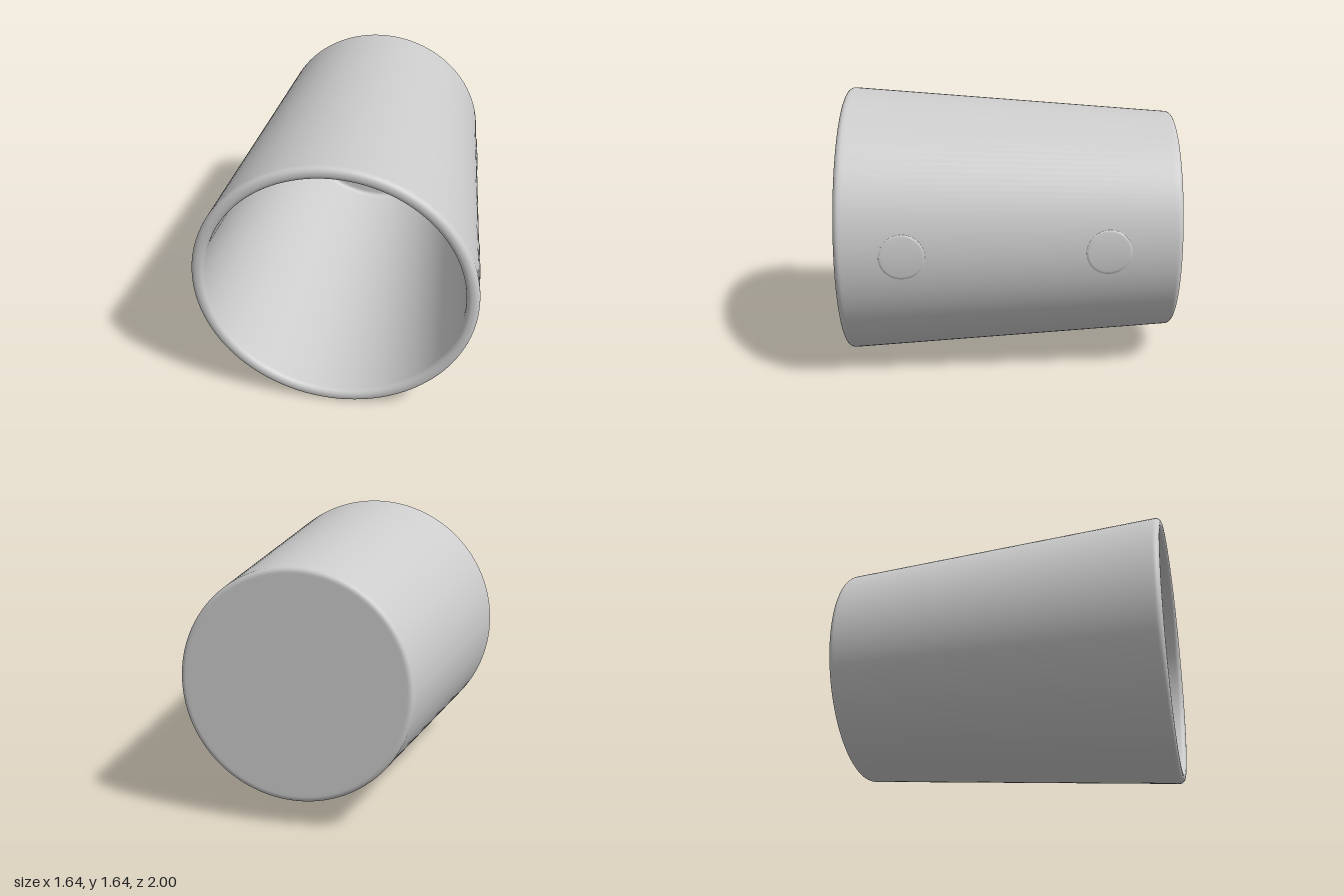
import * as THREE from 'three';
import { ParametricGeometry } from 'three/addons/geometries/ParametricGeometry.js';

const CENTER_Y = 0.82;
const outerRadius = (z) => 0.746 + 0.0765 * z;
const innerRadius = (z) => 0.672 + 0.0755 * z;

// Quarter-round profile points around a centre, from angle a0 to a1 (degrees)
function fillet(r, z, size, a0, a1, steps = 6) {
  return Array.from({ length: steps + 1 }, (_, i) => {
    const a = THREE.MathUtils.degToRad(a0 + ((a1 - a0) * i) / steps);
    return new THREE.Vector2(r + size * Math.cos(a), z + size * Math.sin(a));
  });
}

// Tapered cup wall with closed back, rounded rim and hollow inside
function cupGeometry() {
  const f = 0.033;
  const p = (r, z) => new THREE.Vector2(r, z);
  const profile = [
    p(0, -1), p(outerRadius(-1) - f - 0.01, -1),
    ...fillet(outerRadius(-0.967) - f, -1 + f, f, -90, -4),
    p(outerRadius(-0.95), -0.95), p(outerRadius(0.95), 0.95),
    ...fillet(outerRadius(0.967) - f, 1 - f, f, -4, 90),
    ...fillet(innerRadius(0.967) + f, 1 - f, f, 90, 176),
    p(innerRadius(0.95), 0.95), p(innerRadius(-0.88), -0.88),
    ...fillet(innerRadius(-0.9) - 0.03, -0.9, 0.03, -4, -90),
    p(0.55, -0.93), p(0, -0.93),
  ];
  return new THREE.LatheGeometry(profile, 128).rotateX(Math.PI / 2);
}

// Round pad that hugs the tapered wall on the model's left side
function padGeometry(cz) {
  const size = 0.132;
  const geometry = new ParametricGeometry((u, v, target) => {
    const a = u * Math.PI * 2;
    const rho = size * Math.min(v / 0.9, 1);
    const lift = v > 0.95 ? -0.004 : 0.004;
    const y = rho * Math.sin(a);
    const z = cz + rho * Math.cos(a);
    const r = outerRadius(z) + lift;
    target.set(Math.sqrt(r * r - y * y), y, z);
  }, 48, 10);
  geometry.computeVertexNormals();
  return geometry;
}

export function createModel() {
  const model = new THREE.Group();
  model.name = 'cup';
  const grey = new THREE.MeshStandardMaterial({ color: 0xcccccc });
  grey.name = 'lightGrey';

  const add = (name, geometry) => {
    const mesh = new THREE.Mesh(geometry, grey);
    mesh.name = name;
    mesh.position.y = CENTER_Y;
    model.add(mesh);
  };

  add('cupBody', cupGeometry());
  add('frontHandlePad', padGeometry(0.615));
  add('backHandlePad', padGeometry(-0.57));
  return model;
}
